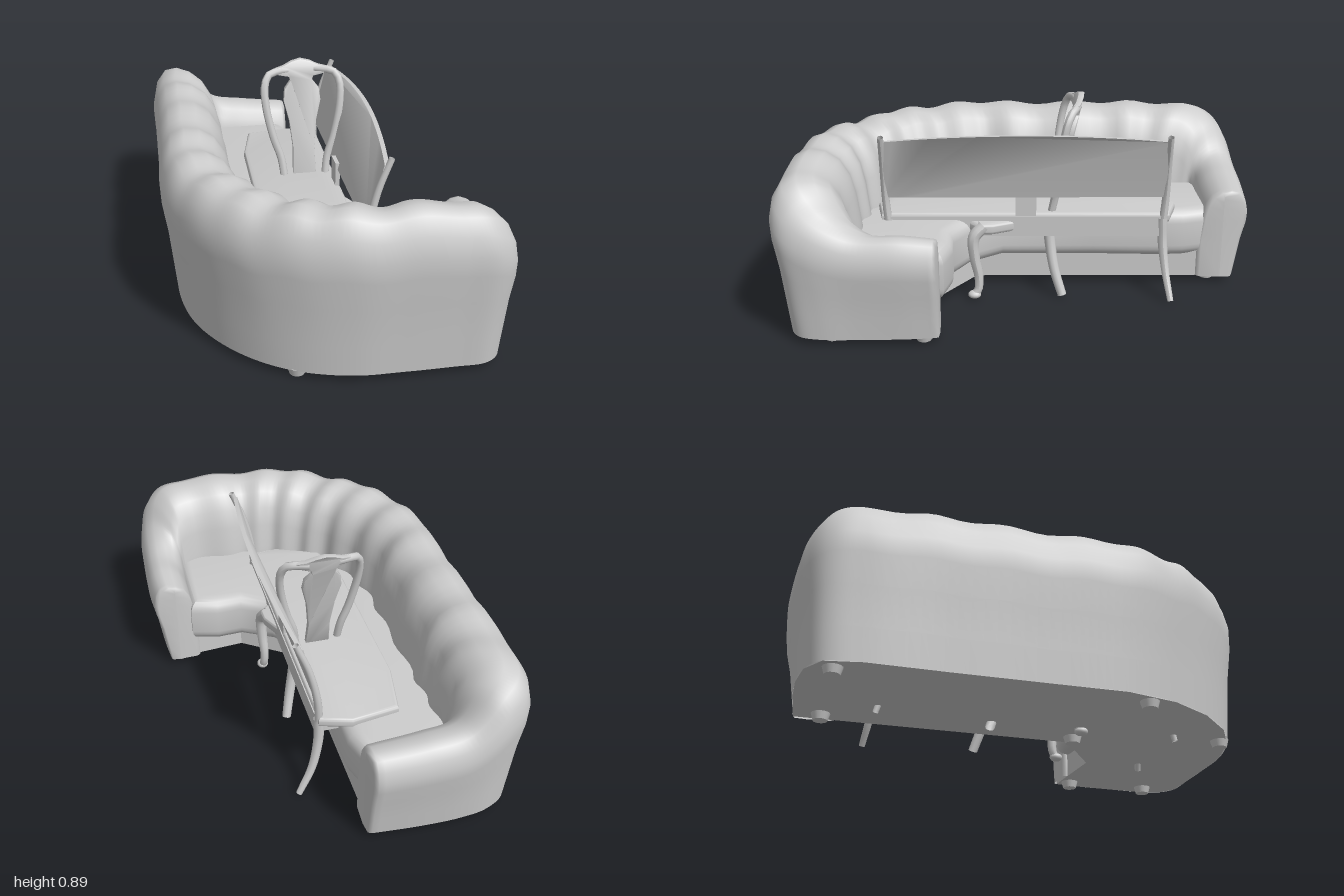
import * as THREE from 'three';
import { toCreasedNormals } from 'three/addons/utils/BufferGeometryUtils.js';

const grey = new THREE.MeshStandardMaterial({ color: 0xcccccc, side: THREE.DoubleSide });
const V = (x, y, z) => new THREE.Vector3(x, y, z);

function add(parent, name, geometry) {
  const mesh = new THREE.Mesh(geometry, grey);
  mesh.name = name;
  parent.add(mesh);
  return mesh;
}

// Round bar through points, optionally tapering towards the end
function bar(points, r, endScale = 1) {
  const curve = new THREE.CatmullRomCurve3(points.map(p => V(...p)));
  const n = 20, g = new THREE.TubeGeometry(curve, n, r, 10);
  const p = g.attributes.position, c = V(), v = V();
  for (let i = 0; i < p.count; i++) {
    const t = Math.floor(i / 11) / n;
    curve.getPointAt(t, c);
    v.fromBufferAttribute(p, i).sub(c).multiplyScalar(1 + (endScale - 1) * t).add(c);
    p.setXYZ(i, v.x, v.y, v.z);
  }
  g.computeVertexNormals();
  return g;
}

// Horizontal slab from an [x, z] outline, between two heights
function slab(outline, y0, y1, bevel = 0) {
  const shape = new THREE.Shape(outline.map(([x, z]) => new THREE.Vector2(x, -z)));
  const g = new THREE.ExtrudeGeometry(shape, {
    depth: y1 - y0 - 2 * bevel, bevelEnabled: bevel > 0, bevelThickness: bevel,
    bevelSize: bevel, bevelOffset: -bevel, bevelSegments: 5
  });
  g.rotateX(-Math.PI / 2).translate(0, y0 + bevel, 0);
  return toCreasedNormals(g, 0.7);
}

// Stations of the sofa back and arms: outer x, z, inner x, z, height
const stations = [
  [0, -0.985, 0, -0.77, 0.44], [-0.2, -1, -0.2, -0.765, 0.46], [-0.37, -1, -0.32, -0.765, 0.49],
  [-0.52, -0.97, -0.34, -0.74, 0.61], [-0.62, -0.9, -0.34, -0.7, 0.67], [-0.65, -0.75, -0.33, -0.6, 0.69],
  [-0.65, -0.4, -0.33, -0.4, 0.7], [-0.65, 0, -0.33, 0, 0.695], [-0.65, 0.28, -0.33, 0.2, 0.7],
  [-0.6, 0.5, -0.28, 0.38, 0.69], [-0.5, 0.68, -0.2, 0.52, 0.695], [-0.36, 0.83, -0.1, 0.6, 0.68],
  [-0.2, 0.93, 0, 0.66, 0.695], [0, 0.99, 0.1, 0.68, 0.69], [0.2, 1, 0.2, 0.69, 0.69],
  [0.4, 1, 0.36, 0.69, 0.69], [0.53, 0.995, 0.44, 0.68, 0.655], [0.6, 0.95, 0.45, 0.66, 0.61],
  [0.635, 0.85, 0.45, 0.62, 0.53], [0.645, 0.7, 0.45, 0.55, 0.465], [0.65, 0.5, 0.45, 0.46, 0.46],
  [0.64, 0.36, 0.45, 0.36, 0.445]
];
// Section across: share of width, share of height
const section = [
  [0.16, 0], [0.12, 0.2], [0.07, 0.45], [0.01, 0.64], [0, 0.76], [0.05, 0.88], [0.17, 0.97], [0.34, 1],
  [0.54, 0.985], [0.72, 0.93], [0.85, 0.83], [0.92, 0.7], [0.965, 0.53], [1, 0.42], [1, 0]
];
// The outer face leans in by the same amount on narrow and wide stations
const lean = (dx, dz) => Math.min(1.7, 0.32 / Math.hypot(dx, dz));

function sofaBack() {
  const outer = new THREE.CatmullRomCurve3(stations.map(s => V(s[0], s[4], s[1])));
  const inner = new THREE.CatmullRomCurve3(stations.map(s => V(s[2], s[4], s[3])));
  const steps = 168, pos = [], index = [], m = section.length;
  const ring = (t, k, dx, dz) => {
    const o = outer.getPoint(t), n = inner.getPoint(t);
    // Cushioned lumps along the tall part only
    const padded = Math.min(1, Math.max(0, (o.y - 0.55) / 0.1));
    const wave = padded * Math.cos((o.x + o.z - 0.34) * 20.9);
    section.forEach(([u, v], j) => {
      const w = j < 4 ? u * lean(n.x - o.x, n.z - o.z) : u * (1 + wave * 0.03);
      const uu = 0.5 + (w - 0.5) * k, vv = v * (0.94 + 0.06 * k);
      pos.push(o.x + (n.x - o.x) * uu + dx, 0.03 + (o.y - 0.03 + wave * 0.009) * vv, o.z + (n.z - o.z) * uu + dz);
    });
  };
  // Rounded ends close the sweep
  ring(0, 0, 0.02, 0);
  ring(0, 0.85, 0.015, 0);
  for (let i = 0; i <= steps; i++) ring(i / steps, 1, 0, 0);
  ring(1, 0.85, 0, -0.012);
  ring(1, 0, 0, -0.015);
  for (let i = 0; i < steps + 4; i++) for (let j = 0; j < m - 1; j++) {
    const a = i * m + j, b = a + m;
    index.push(a, b, a + 1, b, b + 1, a + 1);
  }
  const g = new THREE.BufferGeometry();
  g.setAttribute('position', new THREE.Float32BufferAttribute(pos, 3));
  g.setIndex(index);
  g.computeVertexNormals();
  return g;
}

function createSofa() {
  const sofa = new THREE.Group();
  sofa.name = 'sofa';
  add(sofa, 'sofaBackAndArms', sofaBack());
  const rim = stations.map(([ox, oz, ix, iz]) => {
    const u = 0.16 * lean(ix - ox, iz - oz);
    return [ox + (ix - ox) * u, oz + (iz - oz) * u];
  });
  add(sofa, 'sofaBase', slab([...rim, [0.46, 0.37], [0.24, 0.39], [0.0, 0.22], [0.0, -0.6]], 0.03, 0.25));
  add(sofa, 'sofaSeat', slab([[-0.4, -0.85], [-0.01, -0.85], [0.035, -0.7], [0.04, -0.6], [0.03, -0.3], [0.03, 0.1],
    [0.12, 0.23], [0.25, 0.305], [0.36, 0.3], [0.48, 0.33], [0.48, 0.8], [0, 0.8], [-0.25, 0.6], [-0.4, 0.3]],
  0.13, 0.355, 0.06));
  const feet = [[0.53, 0.78], [0.54, 0.41], [-0.19, 0.84], [-0.53, 0.38], [-0.07, 0.22], [-0.06, -0.83], [-0.53, -0.83]];
  for (const [x, z] of feet)
    add(sofa, 'sofaFoot', new THREE.CylinderGeometry(0.04, 0.03, 0.034, 16)).position.set(x, 0.017, z);
  return sofa;
}

function createBench() {
  const bench = new THREE.Group();
  bench.name = 'bench';
  add(bench, 'benchSeat', slab([[-0.2, -0.63], [0, -0.66], [0.13, -0.62], [0.13, 0.62], [0, 0.65], [-0.2, 0.56],
    [-0.25, 0.4], [-0.245, -0.4]], 0.34, 0.385, 0.015));
  add(bench, 'benchApron', new THREE.BoxGeometry(0.03, 0.09, 1.2)).position.set(0.12, 0.325, 0);
  // Back panel, drawn flat, then leaned and bowed
  const s = new THREE.Shape();
  s.moveTo(-0.6, 0.46);
  for (let i = 1; i <= 24; i++) s.lineTo(-0.6 + i * 0.05, 0.46);
  for (let i = 0; i <= 24; i++) {
    const z = 0.6 - i * 0.05;
    s.lineTo(z, 0.765 - 0.11 * z * z);
  }
  const g = new THREE.ExtrudeGeometry(s, { depth: 0.018, bevelEnabled: false });
  const p = g.attributes.position;
  for (let i = 0; i < p.count; i++) {
    const z = p.getX(i), y = p.getY(i);
    p.setXYZ(i, 0.12 + (y - 0.46) * 0.25 + 0.035 * (1 - z * z / 0.36) * (y - 0.46) / 0.3 + p.getZ(i), y, -z);
  }
  g.computeVertexNormals();
  add(bench, 'benchBackPanel', toCreasedNormals(g, 0.6));
  add(bench, 'benchBackSupport', new THREE.BoxGeometry(0.02, 0.12, 0.09)).position.set(0.12, 0.43, 0);
  for (const k of [-1, 1]) {
    add(bench, 'benchBackPost', bar([[0.12, 0.3, 0.59 * k], [0.13, 0.46, 0.6 * k], [0.165, 0.62, 0.6 * k],
      [0.215, 0.75, 0.597 * k]], 0.018, 0.7));
    add(bench, 'benchRearLeg', bar([[0.12, 0.36, 0.59 * k], [0.125, 0.25, 0.595 * k], [0.155, 0.12, 0.61 * k],
      [0.215, 0.005, 0.63 * k]], 0.024, 0.55));
    add(bench, 'benchFrontLeg', bar([[-0.19, 0.36, 0.53 * k], [-0.21, 0.15, 0.59 * k], [-0.2, 0.005, 0.63 * k]], 0.024, 0.5));
    add(bench, 'benchSideRail', new THREE.BoxGeometry(0.3, 0.07, 0.02)).position.set(-0.03, 0.325, 0.58 * k);
  }
  return bench;
}

function createChair() {
  const chair = new THREE.Group();
  chair.name = 'chair';
  // Lean and bow shared by all parts of the back
  const backZ = (x, y) => -0.13 - (y - 0.4) * 0.22 + 1.5 * x * x;
  // Vase splat and crest: half width, height
  const half = [[0.05, 0.35], [0.045, 0.5], [0.058, 0.62], [0.08, 0.71], [0.074, 0.76], [0.046, 0.795], [0.052, 0.815],
    [0.1, 0.828], [0.11, 0.852], [0.075, 0.859], [0.04, 0.875], [0, 0.884]];
  const outline = [...half, ...half.slice(0, -1).reverse().map(([x, y]) => [-x, y])];
  const g = new THREE.ExtrudeGeometry(new THREE.Shape(outline.map(q => new THREE.Vector2(...q))),
    { depth: 0.018, bevelEnabled: true, bevelSize: 0.003, bevelThickness: 0.004, bevelSegments: 2 });
  const p = g.attributes.position;
  for (let i = 0; i < p.count; i++) p.setZ(i, p.getZ(i) - 0.009 + backZ(p.getX(i), p.getY(i)));
  g.computeVertexNormals();
  add(chair, 'chairSplat', toCreasedNormals(g, 0.6));
  for (const k of [-1, 1]) {
    const post = [[0.06, 0.842], [0.11, 0.84], [0.148, 0.83], [0.167, 0.79], [0.166, 0.7], [0.135, 0.55],
      [0.105, 0.46], [0.09, 0.34]];
    add(chair, 'chairBackPost', bar(post.map(([x, y]) => [x * k, y, backZ(x, y)]), 0.017));
    add(chair, 'chairRearLeg', bar([[0.09 * k, 0.36, -0.1], [0.1 * k, 0.25, -0.105], [0.125 * k, 0.12, -0.125],
      [0.15 * k, 0.005, -0.16]], 0.026, 0.75));
    add(chair, 'chairFrontLeg', bar([[0.155 * k, 0.335, 0.18], [0.17 * k, 0.29, 0.222], [0.17 * k, 0.2, 0.222],
      [0.165 * k, 0.1, 0.205], [0.168 * k, 0.04, 0.208], [0.172 * k, 0.02, 0.222]], 0.029, 0.6));
    const foot = add(chair, 'chairFrontFoot', new THREE.SphereGeometry(0.026, 14, 10));
    foot.scale.set(1, 0.7, 1.1);
    foot.position.set(0.172 * k, 0.0185, 0.224);
  }
  add(chair, 'chairSeat', slab([[-0.09, -0.12], [0.09, -0.12], [0.125, 0.03], [0.175, 0.14], [0.18, 0.2], [0.14, 0.24],
    [0, 0.25], [-0.14, 0.24], [-0.18, 0.2], [-0.175, 0.14], [-0.125, 0.03]], 0.3, 0.35, 0.014));
  return chair;
}

export function createModel() {
  const model = new THREE.Group();
  model.name = 'seatingGroup';
  model.add(createSofa(), createBench(), createChair());
  return model;
}
